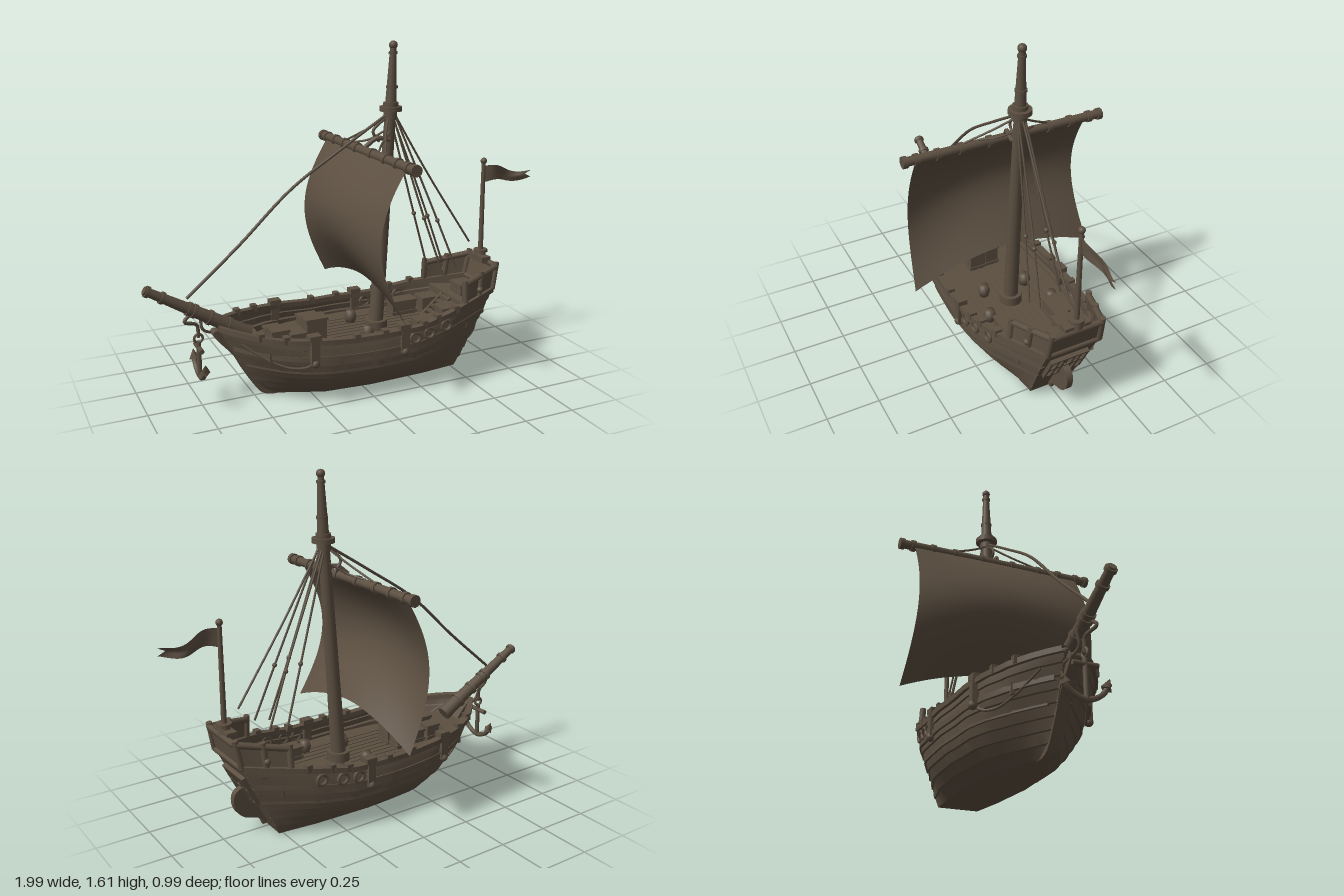
import * as THREE from 'three';
import { toCreasedNormals } from 'three/addons/utils/BufferGeometryUtils.js';

const V = (x, y, z) => new THREE.Vector3(x, y, z);
const lerp = THREE.MathUtils.lerp;

// Piecewise-linear lookup through [position, value] pairs
function curve(t, pts) {
  for (let i = 1; i < pts.length; i++) {
    const [a, va] = pts[i - 1], [b, vb] = pts[i];
    if (t <= b) return lerp(va, vb, (t - a) / (b - a));
  }
  return pts[pts.length - 1][1];
}

// Skin over rows of points
function loft(rows, closed = false, crease = 0.5) {
  const n = rows[0].length, pos = [], idx = [];
  rows.forEach(r => r.forEach(p => pos.push(p.x, p.y, p.z)));
  for (let i = 0; i < rows.length - 1; i++)
    for (let j = 0; j < (closed ? n : n - 1); j++) {
      const a = i * n + j, b = i * n + (j + 1) % n, c = a + n, d = b + n;
      idx.push(a, c, b, b, c, d);
    }
  const g = new THREE.BufferGeometry();
  g.setAttribute('position', new THREE.Float32BufferAttribute(pos, 3));
  g.setIndex(idx);
  return toCreasedNormals(g, crease);
}

// Hull shape: t runs bow to stern, v runs keel to rail
const railY = t => curve(t, [[0, 0.37], [0.15, 0.335], [0.4, 0.31], [0.65, 0.31], [0.82, 0.35], [1, 0.385]]);
const railW = t => curve(t, [[0, 0.035], [0.05, 0.11], [0.12, 0.185], [0.2, 0.235], [0.3, 0.265], [0.5, 0.28],
  [0.65, 0.27], [0.8, 0.235], [0.9, 0.185], [1, 0.13]]);
const keelW = t => curve(t, [[0, 0.015], [0.1, 0.05], [0.25, 0.11], [0.5, 0.13], [0.8, 0.12], [1, 0.1]]);
const fullness = t => curve(t, [[0, 1.2], [0.3, 3], [0.75, 3], [1, 1.7]]);
function hullPoint(t, v, off = 0, side = 1) {
  const rake = Math.pow(v, lerp(0.72, 1, t));
  const x = lerp(lerp(-0.43, 0.52, t), lerp(-0.67, 0.71, t), rake);
  const z = lerp(keelW(t), railW(t), 1 - Math.pow(1 - v, fullness(t))) + off;
  return V(x, v * railY(t), z * side);
}
const tAtX = x => (x + 0.67) / 1.38;
const steps = (a, b, n) => Array.from({ length: n + 1 }, (_, i) => lerp(a, b, i / n));

export function createModel() {
  const ship = new THREE.Group();
  ship.name = 'sailingShip';
  const wood = new THREE.MeshStandardMaterial({ color: 0x5c4f41, side: THREE.DoubleSide });
  wood.name = 'weatheredBrown';

  const add = (name, geo, x = 0, y = 0, z = 0, rx = 0, ry = 0, rz = 0) => {
    const m = new THREE.Mesh(geo, wood);
    m.name = name;
    m.position.set(x, y, z);
    m.rotation.set(rx, ry, rz);
    ship.add(m);
    return m;
  };
  const box = (name, w, h, d, ...at) => add(name, new THREE.BoxGeometry(w, h, d), ...at);
  const rod = (name, a, b, ra, rb = ra, seg = 12) => {
    const m = add(name, new THREE.CylinderGeometry(rb, ra, a.distanceTo(b), seg));
    m.position.copy(a).lerp(b, 0.5);
    m.quaternion.setFromUnitVectors(V(0, 1, 0), b.clone().sub(a).normalize());
  };
  const ball = (name, r, ...at) => add(name, new THREE.SphereGeometry(r, 14, 10), ...at);
  const rope = (name, pts, r = 0.005) =>
    add(name, new THREE.TubeGeometry(new THREE.CatmullRomCurve3(pts), 24, r, 6));
  const slab = (name, pts, depth) => {
    const s = new THREE.Shape();
    s.moveTo(...pts[0]);
    s.splineThru(pts.slice(1).map(p => new THREE.Vector2(...p)));
    const g = new THREE.ExtrudeGeometry(s, { depth, bevelEnabled: false, curveSegments: 24 });
    add(name, g, 0, 0, -depth / 2);
  };

  // Overlapping hull planks, both sides and flat bottom
  const strakes = 8, profile = [];
  for (let i = 0; i < strakes; i++) profile.push([i / strakes, i ? 0.008 : 0], [(i + 0.92) / strakes, 0.001]);
  profile.push([1, 0]);
  const section = t => [...profile.map(([v, o]) => hullPoint(t, v, o, -1)).reverse(),
    ...profile.map(([v, o]) => hullPoint(t, v, o, 1))];
  add('hullPlanks', loft(steps(0, 1, 40).map(section), false, 0.4));
  for (const [name, t] of [['stemPlate', 0], ['transom', 1]])
    add(name, loft(profile.map(([v]) => [hullPoint(t, v, 0, -1), hullPoint(t, v)])));

  // Curved stem and rudder blade
  slab('stem', [[-0.36, 0], [-0.43, 0], [-0.485, 0.03], [-0.55, 0.13], [-0.6, 0.22], [-0.69, 0.33], [-0.66, 0.35],
    [-0.58, 0.26], [-0.5, 0.14], [-0.44, 0.05], [-0.36, 0.02]], 0.05);
  slab('rudder', [[0.52, 0.02], [0.58, 0.06], [0.65, 0.085], [0.69, 0.13], [0.697, 0.19], [0.67, 0.225], [0.62, 0.22],
    [0.56, 0.1]], 0.03);
  rod('rudderPost', V(0.54, 0.02, 0), V(0.665, 0.3, 0), 0.014);

  // Decks
  const deck = (name, y, a, b) => add(name, loft(steps(a, b, 24).map(t => {
    const p = hullPoint(t, Math.min(y / railY(t), 1), -0.006);
    return [V(p.x, y, -p.z), V(p.x, y, p.z)];
  })));
  deck('mainDeck', 0.23, 0.02, 0.99);
  deck('foreDeck', 0.275, 0.01, 0.14);
  deck('aftDeck', 0.34, 0.88, 0.99);
  box('foreBulkhead', 0.015, 0.05, 0.36, -0.475, 0.25);
  box('aftBulkhead', 0.015, 0.12, 0.36, 0.535, 0.285);

  // Rails and wales swept along the hull
  const strip = (name, v, w, h, a, b) => [-1, 1].forEach(s =>
    add(name, loft(steps(a, b, 32).map(t => {
      const p = hullPoint(t, v, 0, s);
      return [[-w, -h], [w, -h], [w, h], [-w, h]].map(([dz, dy]) => V(p.x, p.y + dy, p.z + dz));
    }), true)));
  strip('topRail', 1, 0.017, 0.012, 0, 1);
  strip('upperWale', 0.74, 0.013, 0.012, 0.01, 1);
  strip('lowerWale', 0.5, 0.009, 0.007, 0.02, 1);

  // Raised stern bulwark wrapping round the transom
  const ts = steps(0.855, 1, 6);
  const top = (t, s) => {
    const p = hullPoint(t, 1, 0, s), k = (t - 0.855) / 0.145;
    return V(p.x + 0.025 * k, lerp(0.455, 0.5, k), p.z * 0.95);
  };
  const around = f => [...ts.map(t => f(t, -1)), ...ts.slice().reverse().map(t => f(t, 1))];
  const low = around((t, s) => hullPoint(t, 1, 0, s)), high = around(top);
  add('sternBulwark', loft(low.map((p, i) => [p, high[i]])));
  const bead = (name, pts, r) => pts.slice(1).forEach((p, i) => rod(name, pts[i], p, r, r, 8));
  bead('sternTopRail', high, 0.015);
  bead('sternLowerRail', low, 0.013);
  for (const i of [0, 3, 6, 7, 10, 13]) {
    rod('sternPost', low[i], high[i].clone().add(V(0, 0.02, 0)), 0.015, 0.015, 8);
  }
  for (const s of [-1, 1]) ball('sternBoss', 0.016, 0.61, 0.41, s * 0.176);
  box('sternStep', 0.05, 0.03, 0.13, 0.715, 0.515);

  // Transom windows with crossed bars
  const frame = new THREE.Group();
  frame.name = 'transomWindows';
  frame.position.set(0.648, 0.245, 0);
  frame.rotation.z = -0.46;
  ship.add(frame);
  const bar = (y, z, h, d) => {
    const m = new THREE.Mesh(new THREE.BoxGeometry(0.025, h, d), wood);
    m.name = 'windowBar';
    m.position.set(0, y, z);
    frame.add(m);
  };
  for (const y of [-0.075, 0, 0.075]) bar(y, 0, 0.013, 0.19);
  for (const z of [-0.09, -0.055, -0.025, 0.025, 0.055, 0.09]) bar(0, z, 0.16, 0.012);

  // Fenders, rail blocks and round fittings on both sides
  for (const s of [-1, 1]) {
    for (const x of [-0.3, 0.14]) {
      const p = hullPoint(tAtX(x), 0.85);
      box('fender', 0.04, 0.12, 0.035, x, p.y + 0.015, s * (p.z + 0.004));
      box('fenderCap', 0.055, 0.025, 0.045, x, p.y + 0.07, s * p.z);
      ball('fenderKnob', 0.02, x, p.y - 0.05, s * (p.z + 0.012));
    }
    for (const x of [-0.52, -0.42, -0.1, 0.04, 0.25, 0.33, 0.44]) {
      const p = hullPoint(tAtX(x), 1);
      box('railBlock', 0.028, 0.035, 0.035, p.x, p.y + 0.01, s * p.z);
    }
    for (const x of [0.2, 0.28, 0.38]) {
      const p = hullPoint(tAtX(x), 0.86);
      add('sideRing', new THREE.TorusGeometry(0.025, 0.008, 8, 16), x, p.y, s * (p.z + 0.006));
    }
    rope('bowRope', [0.04, 0.1, 0.16, 0.22, 0.27].map((t, i) =>
      hullPoint(t, [0.85, 0.66, 0.58, 0.62, 0.8][i], 0.012, s)), 0.006);
  }

  // Mast with collars and finial
  rod('mast', V(0.128, 0.23, 0), V(0.2, 1.3, 0), 0.036, 0.026, 16);
  rod('topMast', V(0.2, 1.3, 0), V(0.21, 1.59, 0), 0.028, 0.014, 16);
  const collar = (x, y, r, h) => add('mastCollar', new THREE.CylinderGeometry(r, r, h, 16), x, y, 0);
  [[0.13, 0.25, 0.055, 0.05], [0.198, 1.27, 0.032, 0.03], [0.2, 1.3, 0.053, 0.022], [0.2, 1.32, 0.035, 0.02],
    [0.205, 1.4, 0.027, 0.012], [0.209, 1.555, 0.02, 0.012]].forEach(c => collar(...c));
  ball('mastFinial', 0.02, 0.21, 1.59);

  // Yard with lashings, and its tie to the mast
  rod('yard', V(0.07, 1.11, -0.49), V(0.07, 1.11, 0.49), 0.021);
  for (const z of [0.08, 0.22, 0.33, 0.43, 0.485]) for (const s of [-1, 1])
    add('yardBand', new THREE.CylinderGeometry(0.027, 0.027, 0.022, 12), 0.07, 1.11, s * z, Math.PI / 2);
  rope('yardTie', [V(0.07, 1.13, 0), V(0.12, 1.17, 0.02), V(0.18, 1.16, 0.03)], 0.011);
  rope('yardHalyard', [V(0.19, 1.27, 0), V(0.11, 1.2, 0), V(0.14, 1.15, 0)], 0.007);

  // Billowing square sail with an arched foot
  add('sail', loft(steps(0, 1, 24).map(v => steps(-1, 1, 24).map(u => {
    const belly = Math.sin(Math.PI * Math.pow(v, 0.95)) * (0.125 + 0.045 * (1 - u * u));
    const foot = lerp(0.51, 0.4, Math.pow(Math.abs(u), 1.8));
    return V(lerp(0.065, 0.06, v) - belly, lerp(1.11, foot, v), u * lerp(0.425, 0.465, v * v));
  })), false, 1));

  // Standing rigging
  rope('foreStay', [V(0.19, 1.28, 0), V(-0.05, 1.13, 0), V(-0.3, 0.965, 0), V(-0.55, 0.735, 0), V(-0.8, 0.52, 0)], 0.007);
  for (const s of [-1, 1]) {
    rope('shroud', [V(0.2, 1.28, s * 0.015), V(0.35, 0.8, s * 0.05), V(0.455, 0.48, s * 0.08)]);
    rope('shroud', [V(0.21, 1.28, s * 0.015), V(0.41, 0.81, s * 0.045), V(0.535, 0.5, s * 0.07)]);
    ball('shroudBlock', 0.011, 0.36, 0.77, s * 0.052);
    ball('shroudBlock', 0.011, 0.435, 0.75, s * 0.05);
    rope('yardLift', [V(0.19, 1.27, 0), V(0.13, 1.2, s * 0.09), V(0.07, 1.13, s * 0.21)]);
    rope('yardStay', [V(0.19, 1.2, s * 0.02), V(0.12, 1.15, s * 0.07), V(0.07, 1.13, s * 0.14)]);
  }
  rope('backStay', [V(0.21, 1.29, 0), V(0.4, 0.98, 0), V(0.65, 0.605, 0)]);

  // Bowsprit and its bands
  const tip = V(-0.985, 0.585, 0), heel = V(-0.52, 0.31, 0);
  const along = k => tip.clone().lerp(heel, k);
  rod('bowsprit', tip, heel, 0.019, 0.036, 14);
  for (const k of [0.015, 0.15, 0.4, 0.45, 0.6, 0.78])
    rod('bowspritBand', along(k), along(k + 0.03), 0.026 + 0.015 * k, 0.026 + 0.015 * k, 14);

  // Hanging anchor with stock and curved arms
  rope('anchorLine', [V(-0.77, 0.46, 0), V(-0.82, 0.42, 0.02), V(-0.76, 0.39, 0), V(-0.755, 0.33, 0)], 0.008);
  rope('anchorLine', [V(-0.79, 0.47, 0.02), V(-0.74, 0.42, -0.02), V(-0.73, 0.36, -0.01), V(-0.64, 0.32, -0.03)], 0.007);
  add('anchorRing', new THREE.TorusGeometry(0.02, 0.006, 8, 16), -0.755, 0.325);
  rod('anchorShank', V(-0.755, 0.31, 0), V(-0.755, 0.14, 0), 0.011);
  rod('anchorStock', V(-0.755, 0.28, -0.055), V(-0.755, 0.28, 0.055), 0.011);
  rope('anchorArms', [V(-0.755, 0.215, -0.1), V(-0.755, 0.165, -0.065), V(-0.755, 0.14, 0), V(-0.755, 0.165, 0.065),
    V(-0.755, 0.215, 0.1)], 0.012);
  for (const s of [-1, 1])
    add('anchorFluke', new THREE.ConeGeometry(0.025, 0.05, 4), -0.755, 0.215, s * 0.095, s * 0.4);

  // Flag staff and wavy swallow-tailed pennant
  rod('flagStaff', V(0.72, 0.5, 0), V(0.72, 1.01, 0), 0.013, 0.01);
  ball('staffKnob', 0.016, 0.72, 1.01);
  add('staffCollar', new THREE.CylinderGeometry(0.035, 0.035, 0.014, 14), 0.72, 0.55);
  add('staffBase', new THREE.CylinderGeometry(0.024, 0.03, 0.04, 14), 0.72, 0.53);
  add('pennant', loft(steps(0, 1, 20).map(u => steps(-1, 1, 6).map(v => {
    const x = 0.725 + u * (0.235 + 0.035 * Math.abs(v));
    const y = 0.943 - 0.025 * u + 0.012 * Math.sin(u * 7) + v * lerp(0.042, 0.017, u);
    return V(x, y, 0.013 * Math.sin(u * 8));
  })), false, 1));

  // Deck cargo: crates, hatch, barrels and benches
  const crate = (x, z, w, h, d, y = 0.23) => {
    box('crate', w, h, d, x, y + h / 2, z);
    box('crateLid', w + 0.01, 0.012, d + 0.01, x, y + h, z);
    box('crateBand', w + 0.01, 0.012, d + 0.01, x, y + 0.015, z);
  };
  crate(-0.39, 0.035, 0.08, 0.09, 0.08);
  crate(-0.39, -0.045, 0.07, 0.07, 0.06);
  crate(-0.3, 0, 0.07, 0.06, 0.14);
  crate(-0.21, 0.035, 0.1, 0.12, 0.08);
  crate(-0.21, -0.045, 0.09, 0.1, 0.07);
  crate(0.34, 0.13, 0.13, 0.06, 0.07);
  crate(0.34, -0.13, 0.13, 0.07, 0.07);
  crate(0.47, 0.1, 0.09, 0.09, 0.08);
  crate(0.47, -0.1, 0.09, 0.08, 0.08);
  crate(0.62, 0, 0.08, 0.05, 0.1, 0.34);
  const barrel = new THREE.LatheGeometry([[0, 0], [0.022, 0], [0.03, 0.03], [0.022, 0.06], [0, 0.06]]
    .map(p => new THREE.Vector2(...p)), 14);
  for (const [x, z] of [[0.04, 0.1], [0.05, -0.12], [0.22, 0.16], [0.23, -0.17]]) add('barrel', barrel, x, 0.23, z);
  for (const z of [-0.04, 0.04]) box('ladderSide', 0.16, 0.012, 0.014, 0.465, 0.285, z, 0, 0, 0.7);
  for (let i = 0; i < 5; i++) box('ladderRung', 0.02, 0.01, 0.08, 0.415 + i * 0.025, 0.243 + i * 0.021);
  for (let i = -5; i <= 5; i++) box('deckSeam', 0.9, 0.004, 0.005, 0.03, 0.231, i * 0.034);

  return ship;
}
